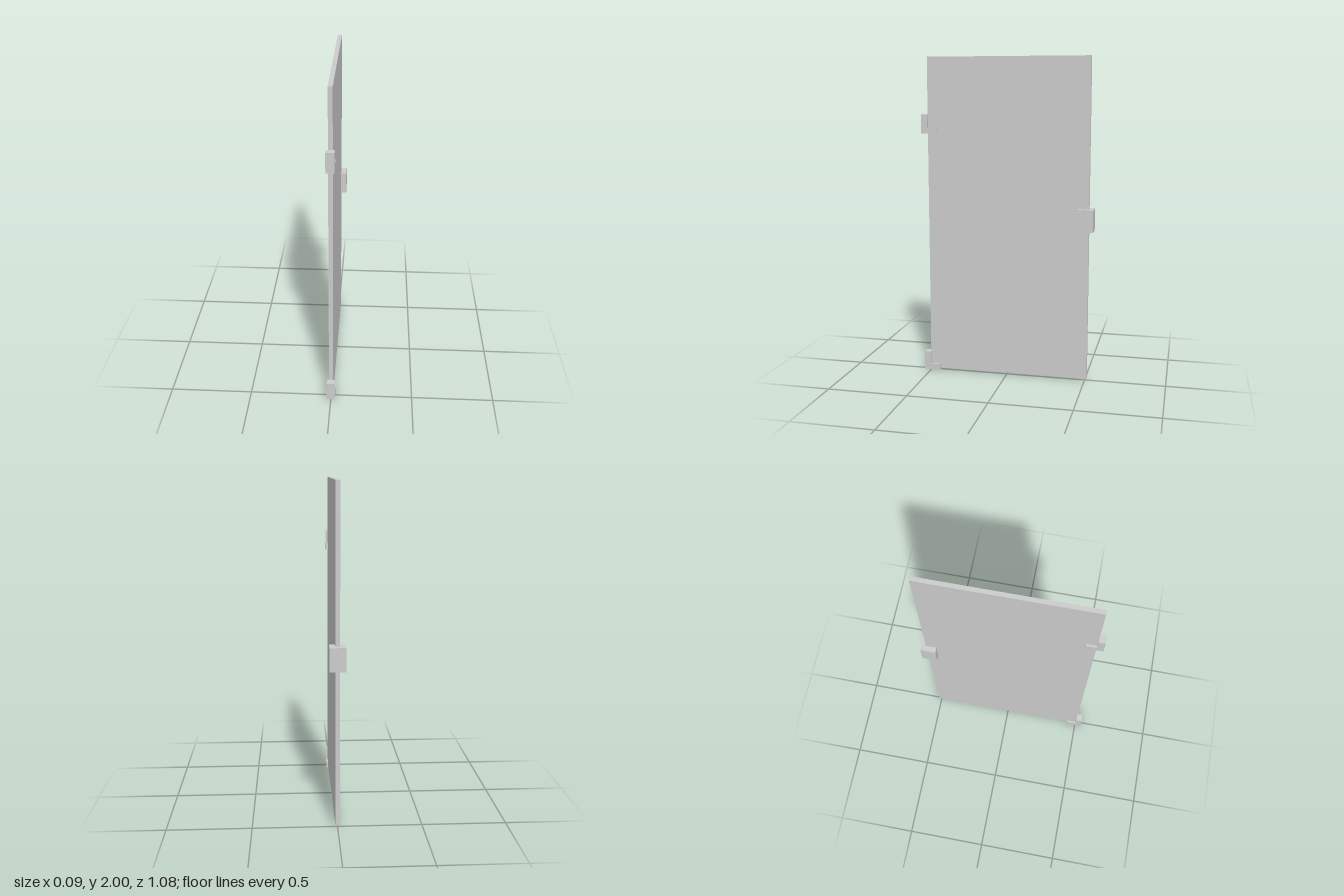
import * as THREE from 'three';

export function createModel() {
  const group = new THREE.Group();
  const material = new THREE.MeshStandardMaterial({ color: 0xcccccc, flatShading: true });

  // Box given by half width in x and its y and z ranges
  function addBox(name, halfX, y0, y1, z0, z1) {
    const mesh = new THREE.Mesh(new THREE.BoxGeometry(halfX * 2, y1 - y0, z1 - z0), material);
    mesh.position.set(0, (y0 + y1) / 2, (z0 + z1) / 2);
    mesh.name = name;
    group.add(mesh);
  }

  // Door leaf and the lock block clamped on its rear edge
  addBox('doorPanel', 0.013, 0.013, 2, -0.513, 0.502);
  addBox('lockBlock', 0.0475, 0.946, 1.085, -0.542, -0.447);

  // L-shaped hinge: upright on the front edge, foot wrapping the panel
  const profile = new THREE.Shape([
    [0.542, 0], [0.439, 0], [0.439, 0.039], [0.502, 0.039], [0.502, 0.119], [0.542, 0.119],
  ].map(([z, y]) => new THREE.Vector2(-z, y)));
  const hinge = new THREE.ExtrudeGeometry(profile, { depth: 0.05, bevelEnabled: false });
  hinge.translate(0, 0, -0.025);
  hinge.rotateY(Math.PI / 2);

  [['lowerHinge', 0], ['upperHinge', 1.53]].forEach(([name, y]) => {
    const mesh = new THREE.Mesh(hinge, material);
    mesh.position.y = y;
    mesh.name = name;
    group.add(mesh);
  });

  return group;
}
